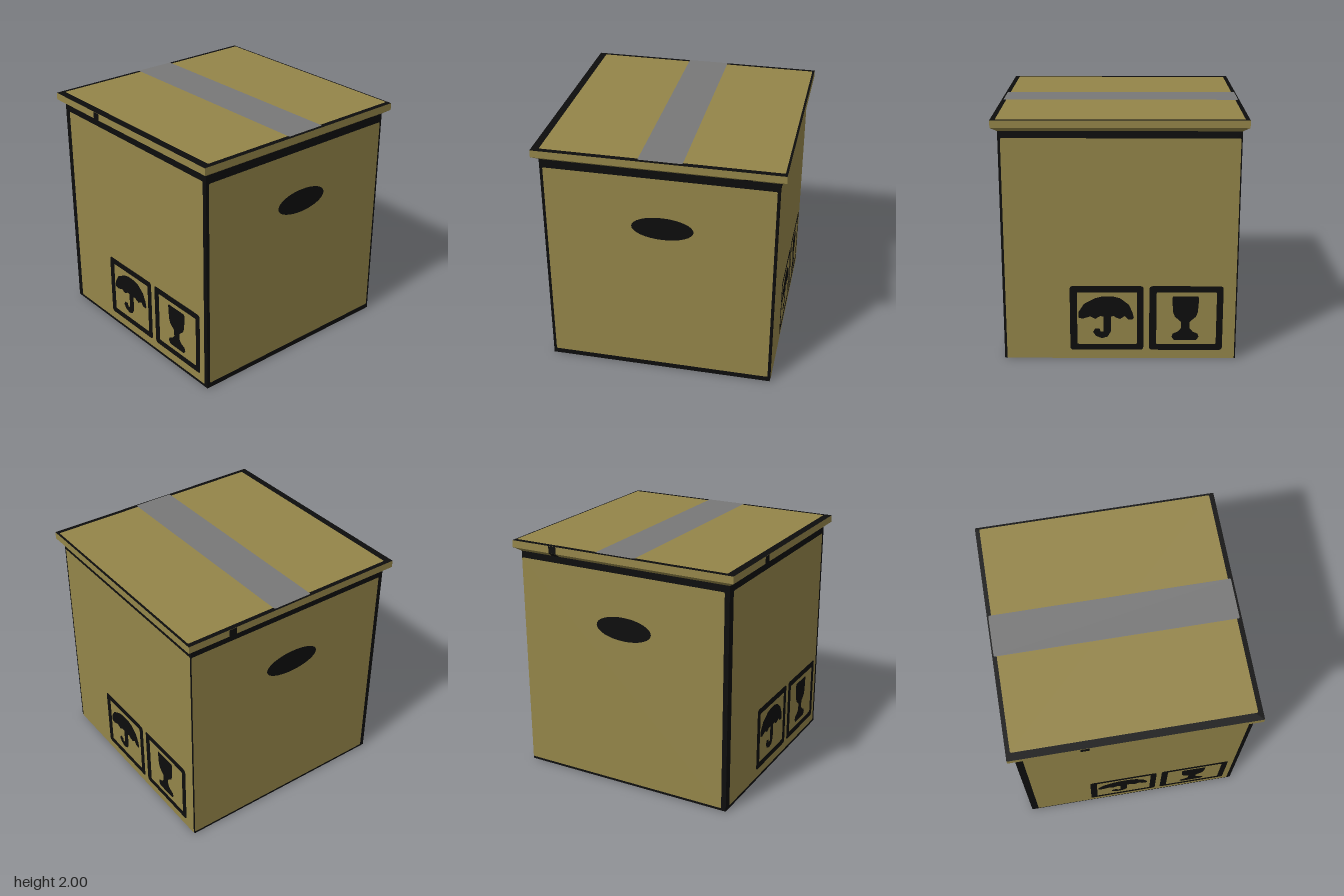
import * as THREE from 'three';

const HALF = 0.94;      // body half width
const LID = 0.99;       // lid half width
const RIM = 1.9;        // where the body meets the flared rim
const LIP = 1.935;      // where the flare meets the lid edge
const STEP = 0.003;     // spacing between painted layers

export function createModel() {
  const model = new THREE.Group();
  model.name = 'cardboardBox';

  const cardboard = new THREE.MeshStandardMaterial({ color: 0x948549 });
  cardboard.name = 'cardboard';
  const ink = new THREE.MeshStandardMaterial({ color: 0x0d0d0d });
  ink.name = 'black ink';
  const tape = new THREE.MeshStandardMaterial({ color: 0x787878 });
  tape.name = 'grey tape';

  const add = (parent, name, geometry, material) => {
    const mesh = new THREE.Mesh(geometry, material);
    mesh.name = name;
    parent.add(mesh);
    return mesh;
  };

  // Rectangle outline with softened corners
  const rect = (x0, x1, y0, y1, r = 0.012, Type = THREE.Shape) => {
    const s = new Type();
    s.moveTo(x0 + r, y0);
    s.lineTo(x1 - r, y0);
    s.quadraticCurveTo(x1, y0, x1, y0 + r);
    s.lineTo(x1, y1 - r);
    s.quadraticCurveTo(x1, y1, x1 - r, y1);
    s.lineTo(x0 + r, y1);
    s.quadraticCurveTo(x0, y1, x0, y1 - r);
    s.lineTo(x0, y0 + r);
    s.quadraticCurveTo(x0, y0, x0 + r, y0);
    return s;
  };

  // Flat painted shape on a face group, at a given distance outwards
  const plate = (face, name, shape, material, depth) => {
    add(face, name, new THREE.ShapeGeometry(shape, 16), material).position.z = depth;
  };

  const outline = (points) => new THREE.Shape(points.map(([x, y]) => new THREE.Vector2(x, y)));

  const faceGroup = (name, rx, ry) => {
    const g = new THREE.Group();
    g.name = name;
    g.rotation.set(rx, ry, 0);
    model.add(g);
    return g;
  };

  // Body: inked edges, plain cardboard underneath
  const body = add(model, 'body', new THREE.BoxGeometry(HALF * 2, RIM - STEP, HALF * 2),
    [ink, ink, ink, cardboard, ink, ink]);
  body.position.y = (RIM + STEP) / 2;

  // Flared rim under the lid
  let flare = new THREE.CylinderGeometry(LID * Math.SQRT2, HALF * Math.SQRT2, LIP - RIM, 4, 1, true);
  flare.rotateY(Math.PI / 4);
  flare = flare.toNonIndexed();
  flare.computeVertexNormals();
  add(model, 'lidFlare', flare, cardboard).position.y = (RIM + LIP) / 2;

  // Lid: cardboard edges, inked top border
  const lidTop = 2 - STEP * 2;
  const lid = add(model, 'lid', new THREE.BoxGeometry(LID * 2, lidTop - LIP, LID * 2),
    [cardboard, cardboard, ink, cardboard, cardboard, cardboard]);
  lid.position.y = (lidTop + LIP) / 2;

  // Four walls; x runs rightwards as each wall is looked at
  const front = faceGroup('frontWall', 0, 0);
  const back = faceGroup('backWall', 0, Math.PI);
  const left = faceGroup('leftWall', 0, Math.PI / 2);
  const right = faceGroup('rightWall', 0, -Math.PI / 2);

  const panels = [
    [front, -0.915, 0.92, 0.05, 1.83],
    [back, -0.938, 0.9, 0.025, 1.845],
    [left, -0.92, 0.93, 0.003, 1.845],
    [right, -0.88, 0.905, 0.03, 1.845],
  ];
  for (const [face, x0, x1, y0, y1] of panels) {
    plate(face, 'wallPanel', rect(x0, x1, y0, y1), cardboard, HALF + STEP);
  }

  // Oval hand holes
  for (const [face, x] of [[front, 0.035], [back, 0.02]]) {
    const oval = new THREE.Shape();
    oval.absellipse(x, 1.39, 0.25, 0.1, 0, Math.PI * 2);
    plate(face, 'handHole', oval, ink, HALF + STEP * 2);
  }

  // Handling symbols: umbrella and wine glass, each in a frame
  const umbrella = outline([
    [-0.335, 0.36], [-0.335, 0.41], [-0.29, 0.48], [-0.2, 0.53], [-0.14, 0.545], [-0.06, 0.545],
    [0, 0.53], [0.07, 0.475], [0.1, 0.41], [0.112, 0.36], [0.1, 0.343], [0.065, 0.345],
    [0.04, 0.375], [0, 0.35], [-0.03, 0.36], [-0.05, 0.375], [-0.074, 0.37], [-0.074, 0.24],
    [-0.1, 0.195], [-0.145, 0.18], [-0.195, 0.2], [-0.218, 0.235], [-0.2, 0.267], [-0.165, 0.265],
    [-0.158, 0.238], [-0.135, 0.24], [-0.133, 0.37], [-0.16, 0.375], [-0.2, 0.35], [-0.24, 0.372],
    [-0.3, 0.352],
  ]);
  const halfGlass = [
    [0.1, 0.545], [0.108, 0.53], [0.1, 0.41], [0.085, 0.37], [0.035, 0.325], [0.035, 0.27],
    [0.06, 0.24], [0.1, 0.222], [0.11, 0.195], [0.09, 0.165],
  ];
  const glass = outline([
    ...halfGlass.map(([x, y]) => [0.528 + x, y]),
    ...halfGlass.map(([x, y]) => [0.528 - x, y]).reverse(),
  ]);
  for (const [face, dx, dy] of [[left, 0, 0], [right, 0.025, 0.025]]) {
    const symbols = new THREE.Group();
    symbols.name = 'handlingSymbols';
    symbols.position.set(dx, dy, 0);
    face.add(symbols);
    for (const x of [-0.404, 0.236]) {
      const frame = rect(x, x + 0.594, 0.078, 0.634, 0.03);
      frame.holes.push(rect(x + 0.058, x + 0.542, 0.13, 0.58, 0.012, THREE.Path));
      plate(symbols, 'symbolFrame', frame, ink, HALF + STEP * 2);
    }
    plate(symbols, 'umbrellaSymbol', umbrella, ink, HALF + STEP * 2);
    plate(symbols, 'glassSymbol', glass, ink, HALF + STEP * 2);
  }

  // Dark marks on the sloping flare
  const flareMark = (face, b0, b1, t0, t1) => {
    const g = new THREE.BufferGeometry();
    const zb = HALF + STEP * 1.5, zt = LID + STEP * 1.5;
    g.setAttribute('position', new THREE.Float32BufferAttribute(
      [b0, RIM, zb, b1, RIM, zb, t1, LIP, zt, t0, LIP, zt], 3));
    g.setIndex([0, 1, 2, 0, 2, 3]);
    g.computeVertexNormals();
    add(face, 'flareMark', g, ink);
  };
  flareMark(front, 0.654, 0.723, 0.675, 0.755);

  // Marks running over both lid edge and flare
  for (const [face, x] of [[back, -0.6], [right, -0.395]]) {
    flareMark(face, x - 0.035, x + 0.035, x - 0.035, x + 0.035);
    plate(face, 'lidEdgeMark', rect(x - 0.035, x + 0.035, LIP, lidTop, 0.002), ink, LID + STEP);
  }

  // Lid top panel and tape
  const top = faceGroup('lidTop', -Math.PI / 2, 0);
  plate(top, 'lidPanel', rect(-0.928, 0.972, -0.95, 0.955), cardboard, 2 - STEP);
  plate(top, 'lidTape', rect(-0.145, 0.203, -0.972, 0.978), tape, 2);

  // Underside seam and tape
  const bottom = faceGroup('underside', Math.PI / 2, 0);
  plate(bottom, 'bottomSeam', rect(0.52, 0.6, -HALF, HALF, 0.002), ink, 0);
  plate(bottom, 'bottomTape', rect(-0.83, -0.385, -HALF, HALF, 0.002), tape, 0);

  return model;
}
